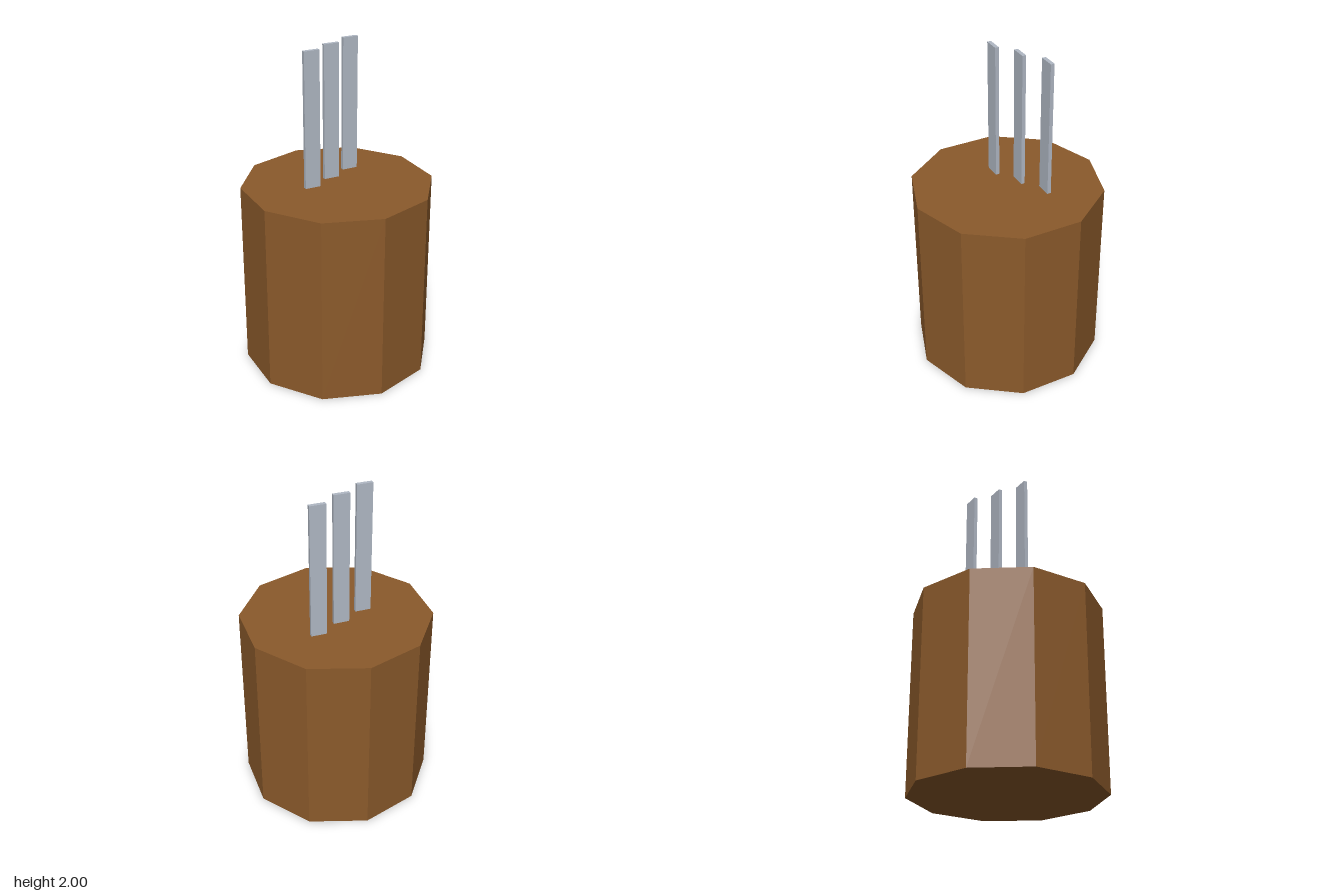
import * as THREE from 'three';

export function createModel() {
  const model = new THREE.Group();
  const wood = new THREE.MeshStandardMaterial({ color: 0x8b5a2b, flatShading: true });
  wood.name = 'brown wood';
  const steel = new THREE.MeshStandardMaterial({ color: 0xb0b8c4, flatShading: true });
  steel.name = 'grey steel';

  // Ten-sided block with a corner facing the front
  const blockHeight = 1.167;
  const block = new THREE.Mesh(new THREE.CylinderGeometry(0.583, 0.583, blockHeight, 10), wood);
  block.name = 'block';
  block.position.y = blockHeight / 2;
  model.add(block);

  // Three flat blades in a diagonal row, standing on the block
  const bladeHeight = 2 - blockHeight;
  const bladeGeometry = new THREE.BoxGeometry(0.097, bladeHeight, 0.023);
  for (let i = 0; i < 3; i++) {
    const blade = new THREE.Mesh(bladeGeometry, steel);
    blade.name = `blade${i + 1}`;
    blade.position.set((i - 1) * 0.167, blockHeight + bladeHeight / 2, -i * 0.0835);
    model.add(blade);
  }
  return model;
}
